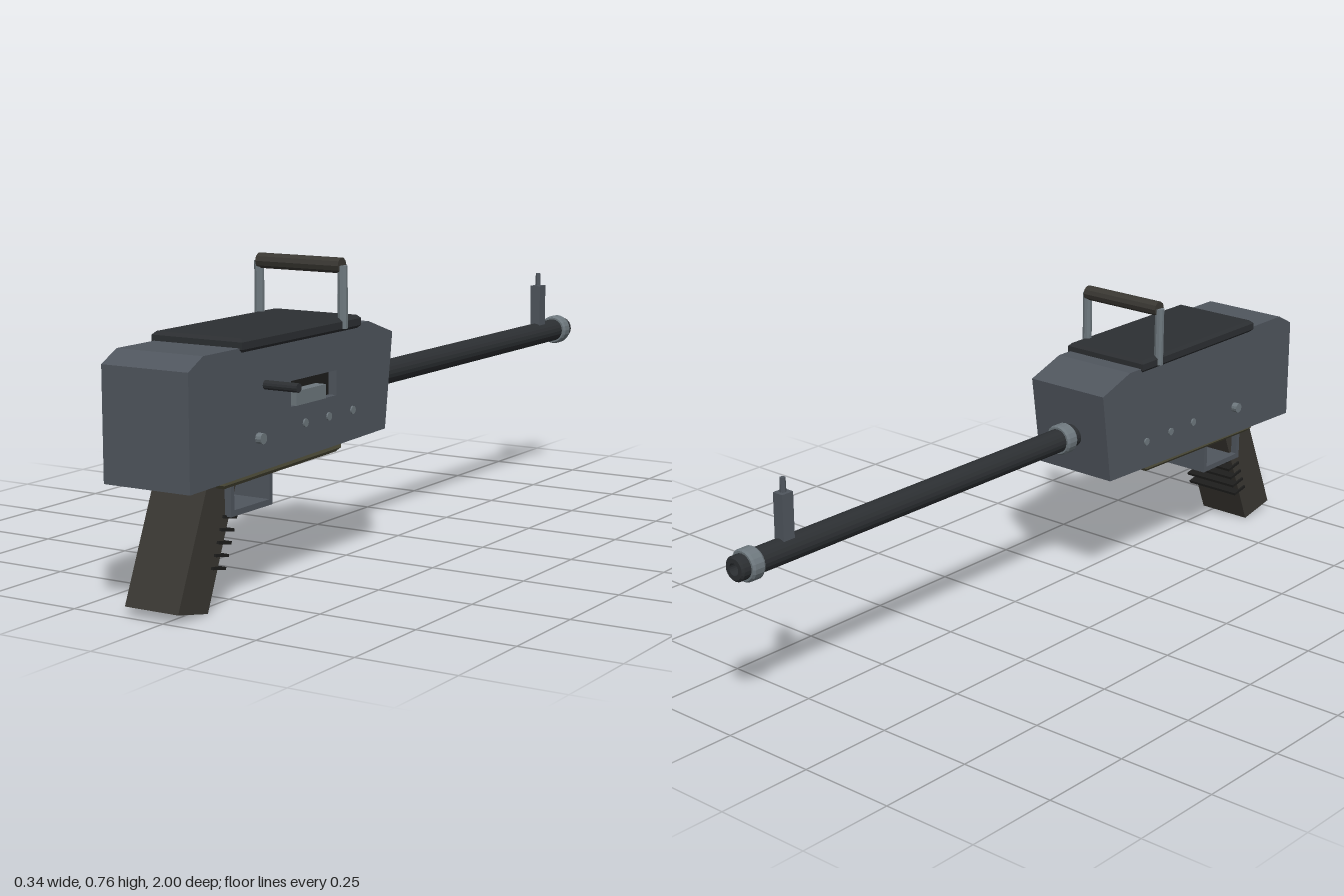
import * as THREE from 'three';

const CX = -0.0385; // centre plane of the receiver
const mat = (color) => new THREE.MeshStandardMaterial({ color, flatShading: true });
const steel = mat(0x50565e), dark = mat(0x2c2f32), silver = mat(0x6e787e);
const gripMat = mat(0x3a3833), olive = mat(0x55533f), black = mat(0x1d1d1c);

export function createModel() {
  const model = new THREE.Group();
  const add = (name, geometry, material, x = 0, y = 0, z = 0) => {
    const m = new THREE.Mesh(geometry, material);
    m.name = name;
    m.position.set(x, y, z);
    model.add(m);
    return m;
  };
  const box = (name, material, x, y, z, w, h, d) =>
    add(name, new THREE.BoxGeometry(w, h, d), material, x, y, z);

  const shapeOf = (pts) => new THREE.Shape(pts.map(([a, b]) => new THREE.Vector2(a, b)));
  // Side profile given as (z, y), extruded from x0 to x1
  const sideProfile = (name, material, pts, x0, x1, hole) => {
    const s = shapeOf(pts);
    if (hole) s.holes.push(shapeOf(hole));
    const g = new THREE.ExtrudeGeometry(s, { depth: x1 - x0, bevelEnabled: false });
    g.rotateY(-Math.PI / 2);
    return add(name, g, material, x1, 0, 0);
  };
  // Flat slab with chamfered edges
  const slab = (name, material, x, y, z, w, h, d, c) => {
    const a = w / 2 - c, b = d / 2 - c;
    const g = new THREE.ExtrudeGeometry(shapeOf([[-a, -b], [a, -b], [a, b], [-a, b]]),
      { depth: h - 2 * c, bevelThickness: c, bevelSize: c, bevelSegments: 1 });
    g.translate(0, 0, c - h / 2).rotateX(-Math.PI / 2);
    return add(name, g, material, x, y, z);
  };
  const rodX = (name, material, r, x0, x1, y, z, sides = 12) =>
    add(name, new THREE.CylinderGeometry(r, r, x1 - x0, sides).rotateZ(Math.PI / 2),
      material, (x0 + x1) / 2, y, z);
  // Turned part along the barrel axis, profile (radius, distance towards the muzzle)
  const turned = (name, material, pts, z) =>
    add(name, new THREE.LatheGeometry(pts.map(([r, d]) => new THREE.Vector2(r, d)), 20)
      .rotateX(-Math.PI / 2), material, -0.04, 0.425, z);

  // Receiver: main block plus a side wall with the ejection port cut through
  const body = [[1, 0.298], [1, 0.567], [0.945, 0.596], [0.27, 0.596], [0.16, 0.558], [0.195, 0.32]];
  sideProfile('receiver', steel, body, -0.157, 0.055);
  sideProfile('receiverSide', steel, body, 0.055, 0.08,
    [[0.607, 0.435], [0.415, 0.435], [0.415, 0.495], [0.607, 0.495]]);
  box('portFloor', black, 0.056, 0.465, 0.511, 0.004, 0.06, 0.192);
  box('bolt', silver, 0.071, 0.453, 0.533, 0.032, 0.034, 0.125);
  rodX('chargingHandle', dark, 0.011, 0.07, 0.171, 0.501, 0.71);

  // Top cover and carrying handle
  slab('topCover', dark, CX, 0.601, 0.562, 0.251, 0.033, 0.494, 0.008);
  for (const s of [-1, 1]) {
    add('handlePost', new THREE.CylinderGeometry(0.0125, 0.0125, 0.15, 10), silver,
      CX + s * 0.12, 0.667, 0.388);
  }
  rodX('handleBar', gripMat, 0.019, -0.157, 0.08, 0.742, 0.388, 10);

  // Cross pins
  rodX('mainPin', silver, 0.013, -0.173, 0.095, 0.383, 0.74);
  for (const z of [0.55, 0.45, 0.345]) rodX('smallPin', silver, 0.01, -0.161, 0.084, 0.389, z);

  // Barrel with bored muzzle and two collars
  turned('barrel', dark, [[0, 0], [0.031, 0], [0.031, 1.175], [0.026, 1.18], [0.015, 1.18],
    [0.015, 1.12], [0, 1.12]], 0.18);
  const collar = [[0.03, 0], [0.036, 0], [0.04, 0.006], [0.04, 0.032], [0.036, 0.038], [0.03, 0.038]];
  turned('rearCollar', silver, collar, 0.158);
  turned('muzzleCollar', silver, collar, -0.937);

  // Front sight
  box('sightPost', steel, -0.04, 0.505, -0.843, 0.03, 0.12, 0.034);
  add('sightPin', new THREE.CylinderGeometry(0.007, 0.008, 0.04, 8), steel, -0.04, 0.58, -0.843);

  // Underside plate, following the slope of the receiver
  slab('bottomPlate', olive, CX, 0.3, 0.61, 0.205, 0.03, 0.48, 0.01).rotation.x = 0.022;

  // Trigger guard and trigger
  sideProfile('triggerGuard', steel, [[0.81, 0.3], [0.81, 0.21], [0.645, 0.21], [0.645, 0.3]],
    -0.13, 0.052, [[0.797, 0.29], [0.658, 0.29], [0.658, 0.224], [0.797, 0.224]]);
  sideProfile('trigger', silver, [[0.748, 0.228], [0.732, 0.228], [0.713, 0.3], [0.735, 0.3]],
    -0.055, -0.022);

  // Raked grip with ribs wrapping its front edge
  sideProfile('grip', gripMat, [[0.87, 0.305], [0.99, 0.022], [0.88, 0], [0.755, 0.305]], -0.113, 0.035);
  for (let i = 0; i < 5; i++) {
    const y = 0.097 + i * 0.0275;
    box('gripRib', black, CX, y, 0.86 - (y - 0.05) * 0.41, 0.159, 0.007, 0.05).rotation.x = -0.2;
  }

  return model;
}
